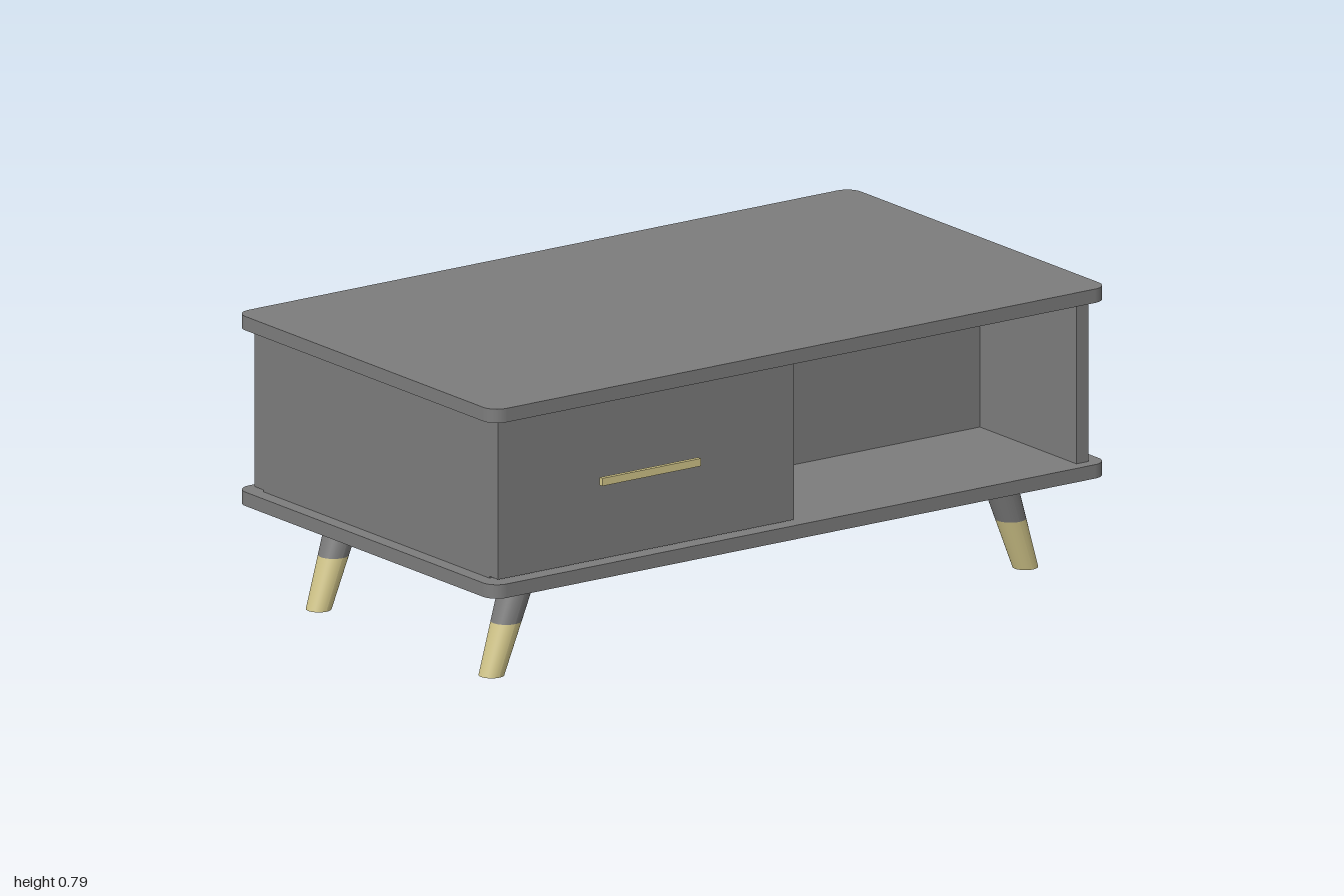
import * as THREE from 'three';

const grey = new THREE.MeshStandardMaterial({ color: 0x7c7c7c });
grey.name = 'grey paint';
const brass = new THREE.MeshStandardMaterial({ color: 0xd2c68a });
brass.name = 'pale brass';

function add(parent, name, geometry, material) {
  const mesh = new THREE.Mesh(geometry, material);
  mesh.name = name;
  parent.add(mesh);
  return mesh;
}

// Box given by its lowest and highest corner
function box(parent, name, lo, hi, material = grey) {
  const size = hi.map((v, i) => v - lo[i]);
  const mesh = add(parent, name, new THREE.BoxGeometry(...size), material);
  mesh.position.set(...hi.map((v, i) => (v + lo[i]) / 2));
  return mesh;
}

// Horizontal board with rounded corners
function board(parent, name, y0, y1) {
  const x = 1, z = 0.575, r = 0.045;
  const shape = new THREE.Shape();
  shape.absarc(x - r, z - r, r, 0, Math.PI / 2);
  shape.absarc(-x + r, z - r, r, Math.PI / 2, Math.PI);
  shape.absarc(-x + r, -z + r, r, Math.PI, Math.PI * 1.5);
  shape.absarc(x - r, -z + r, r, Math.PI * 1.5, Math.PI * 2);
  const geo = new THREE.ExtrudeGeometry(shape, { depth: y1 - y0, bevelEnabled: false, curveSegments: 10 });
  geo.rotateX(-Math.PI / 2).translate(0, y0, 0);
  add(parent, name, geo, grey);
}

// Slanted tapered leg section with level ends
const LEG_TOP = 0.275;
const legRadius = (y) => 0.034 + 0.014 * (y / LEG_TOP);
const legX = (y) => 0.867 - 0.094 * (y / LEG_TOP);
function legSection(parent, name, y0, y1, sx, sz, material) {
  const geo = new THREE.CylinderGeometry(legRadius(y1), legRadius(y0), y1 - y0, 32);
  geo.translate(0, (y0 + y1) / 2, 0);
  const p = geo.attributes.position;
  for (let i = 0; i < p.count; i++) p.setX(i, p.getX(i) + sx * legX(p.getY(i)));
  geo.translate(0, 0, sz * 0.385);
  geo.computeVertexNormals();
  add(parent, name, geo, material);
}

export function createModel() {
  const table = new THREE.Group();
  table.name = 'coffeeTable';
  const y0 = 0.308, y1 = 0.75;

  board(table, 'bottomBoard', 0.27, y0);
  board(table, 'tableTop', y1, 0.788);

  // Carcass: side panels, middle partition and core behind the open shelves
  box(table, 'leftSidePanel', [0.92, y0, -0.54], [0.96, y1, 0.54]);
  box(table, 'rightSidePanel', [-0.96, y0, -0.503], [-0.92, y1, 0.503]);
  box(table, 'middlePartition', [-0.04, y0, -0.503], [-0.001, y1, 0.503]);
  box(table, 'shelfBack', [-0.001, y0, -0.11], [0.92, y1, 0.11]);

  // Drawer with handle on the front and on the back
  for (const [side, s] of [['front', 1], ['back', -1]]) {
    const drawer = new THREE.Group();
    drawer.name = side + 'Drawer';
    table.add(drawer);
    const slab = (name, x0, x1, ya, yb, za, zb, mat) =>
      box(drawer, name, [x0, ya, Math.min(s * za, s * zb)], [x1, yb, Math.max(s * za, s * zb)], mat);
    slab('drawerFront', -0.96, 0, 0.313, 0.746, 0.503, 0.543, grey);
    slab('handleBar', -0.64, -0.32, 0.52, 0.541, 0.556, 0.568, brass);
    for (const x of [-0.6, -0.36]) {
      slab('handlePost', x - 0.006, x + 0.006, 0.525, 0.536, 0.54, 0.557, brass);
    }
  }

  // Splayed legs with brass tips
  for (const sx of [-1, 1]) {
    for (const sz of [-1, 1]) {
      const leg = new THREE.Group();
      leg.name = (sz > 0 ? 'front' : 'back') + (sx > 0 ? 'Left' : 'Right') + 'Leg';
      table.add(leg);
      legSection(leg, 'legUpper', 0.14, LEG_TOP, sx, sz, grey);
      legSection(leg, 'legTip', 0, 0.14, sx, sz, brass);
    }
  }
  return table;
}
